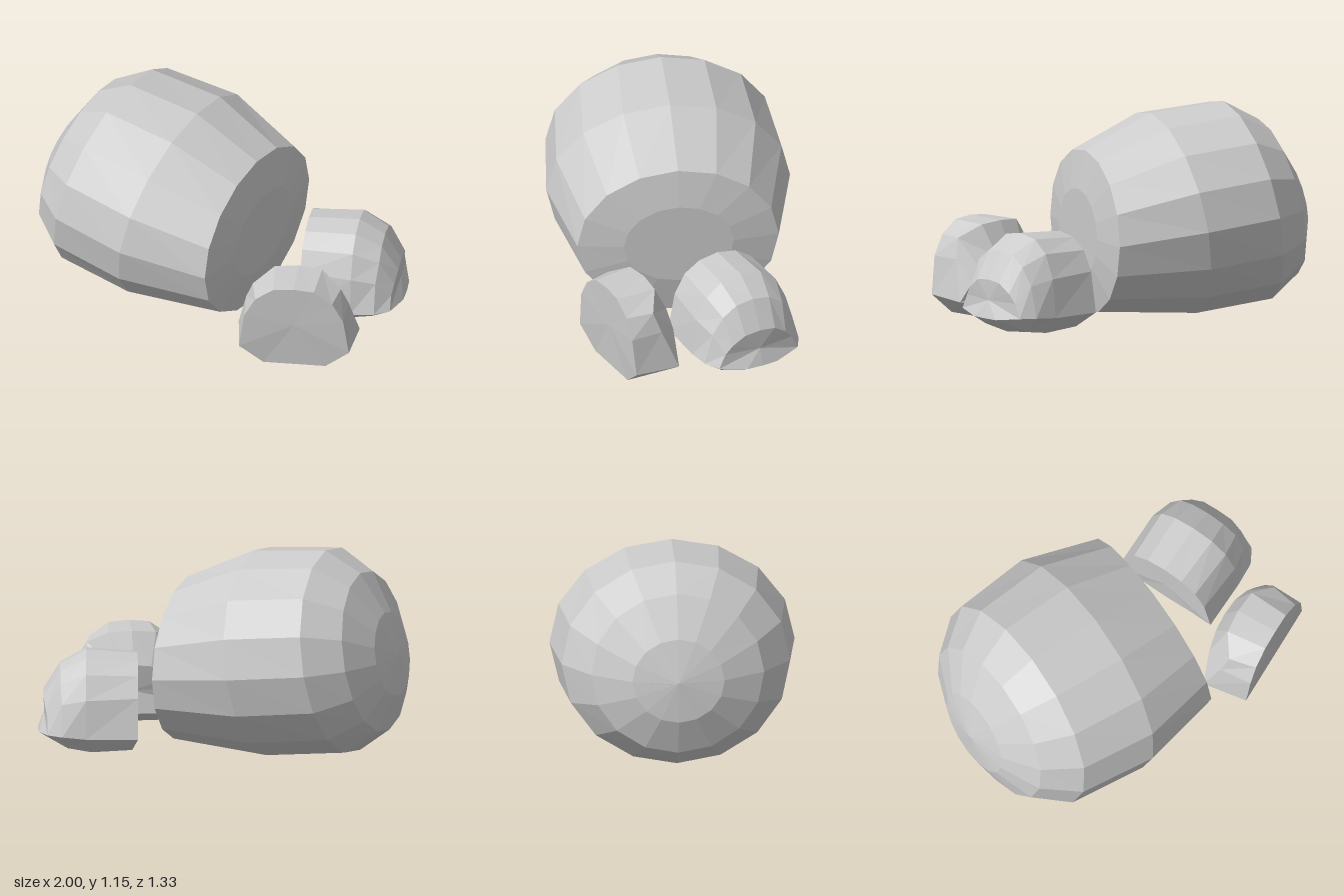
import * as THREE from 'three';

const material = new THREE.MeshStandardMaterial({ color: 0xcccccc, flatShading: true });

// Skins a series of closed rings and closes both ends with a fan.
function loft(rings, name) {
  const tris = [];
  const n = rings[0].length;
  const quad = (a, b, c, d) => tris.push([a, b, c], [a, c, d]);
  for (let r = 0; r < rings.length - 1; r++) {
    for (let i = 0; i < n; i++) {
      const j = (i + 1) % n;
      quad(rings[r][i], rings[r][j], rings[r + 1][j], rings[r + 1][i]);
    }
  }
  const cap = (ring, flip) => {
    const mid = ring.reduce((s, p) => s.add(p), new THREE.Vector3()).divideScalar(n);
    ring.forEach((p, i) => {
      const q = ring[(i + 1) % n];
      tris.push(flip ? [mid, q, p] : [mid, p, q]);
    });
  };
  cap(rings[0], true);
  cap(rings[rings.length - 1], false);

  // Turn the whole skin outward if its signed volume is negative
  const cross = new THREE.Vector3();
  const volume = tris.reduce((v, [a, b, c]) => v + a.dot(cross.crossVectors(b, c)), 0);
  const points = tris.flatMap(([a, b, c]) => (volume < 0 ? [a, c, b] : [a, b, c]));
  const geometry = new THREE.BufferGeometry().setFromPoints(points);
  geometry.computeVertexNormals();
  const mesh = new THREE.Mesh(geometry, material);
  mesh.name = name;
  return mesh;
}

// Slanted elliptical ring of the boulder: x at top and bottom, y range, half width
function boulderRing([xTop, xBottom, top, bottom, width]) {
  return Array.from({ length: 16 }, (_, i) => {
    const a = (i / 16) * Math.PI * 2;
    const k = (1 + Math.cos(a)) / 2;
    return new THREE.Vector3(
      THREE.MathUtils.lerp(xBottom, xTop, k),
      THREE.MathUtils.lerp(bottom, top, k),
      width * Math.sin(a)
    );
  });
}

// Mirrors a half outline [across, height, depth], listed from crown to underside
function archRing(half) {
  const right = half.map(([u, y, s]) => new THREE.Vector3(u, y, s));
  const left = half.slice(1, -1).reverse().map(([u, y, s]) => new THREE.Vector3(-u, y, s));
  return [...right, ...left];
}

function smallRock(name, x, z, dirX, dirZ, halves) {
  const rock = loft(halves.map(archRing), name);
  rock.position.set(x, 0, z);
  rock.rotation.y = Math.atan2(dirX, dirZ);
  return rock;
}

export function createModel() {
  const group = new THREE.Group();
  group.name = 'rocks';

  // Large barrel-shaped boulder, from rounded end to blunt end
  group.add(loft([
    [-0.99, -0.99, 0.605, 0.595, 0.005],
    [-0.91, -1.0, 0.83, 0.38, 0.25],
    [-0.77, -0.94, 1.04, 0.18, 0.47],
    [-0.57, -0.77, 1.15, 0.05, 0.62],
    [-0.15, -0.33, 1.11, 0.0, 0.665],
    [0.23, 0.23, 0.93, 0.04, 0.55],
    [0.27, 0.27, 0.72, 0.25, 0.3],
  ].map(boulderRing), 'boulder'));

  // Thin domed rock with its flat face toward the front
  group.add(smallRock('frontRock', 0.73, 0.447, -0.41, -0.91, [
    [[0, 0.53, 0], [0.11, 0.52, 0], [0.21, 0.45, 0], [0.27, 0.34, 0],
      [0.3, 0.13, 0.01], [0.17, 0.02, 0.03], [0, 0.02, 0.03]],
    [[0, 0.53, 0.235], [0.13, 0.52, 0.225], [0.24, 0.45, 0.15], [0.28, 0.34, 0.18],
      [0.33, 0.12, 0.26], [0.17, 0.02, 0.2], [0, 0.02, 0.21]],
    [[0, 0.36, 0.32], [0.1, 0.35, 0.315], [0.2, 0.28, 0.3], [0.26, 0.22, 0.28],
      [0.33, 0.12, 0.26], [0.18, 0.08, 0.3], [0, 0.09, 0.33]],
  ]));

  // Deeper domed rock with its flat face toward the boulder
  group.add(smallRock('backRock', 0.445, -0.19, 0.94, -0.35, [
    [[0, 0.53, 0], [0.11, 0.51, 0], [0.2, 0.45, 0], [0.26, 0.34, 0],
      [0.3, 0.12, 0], [0.17, 0.03, 0.03], [0, 0.02, 0.03]],
    [[0, 0.55, 0.28], [0.12, 0.53, 0.28], [0.21, 0.46, 0.28], [0.27, 0.33, 0.28],
      [0.295, 0.12, 0.28], [0.18, 0.02, 0.25], [0, 0.02, 0.25]],
    [[0, 0.47, 0.42], [0.1, 0.455, 0.42], [0.18, 0.4, 0.42], [0.24, 0.3, 0.41],
      [0.285, 0.13, 0.41], [0.17, 0.04, 0.38], [0, 0.02, 0.38]],
    [[0, 0.32, 0.51], [0.09, 0.31, 0.51], [0.16, 0.26, 0.5], [0.2, 0.21, 0.49],
      [0.238, 0.13, 0.49], [0.09, 0.11, 0.535], [0, 0.11, 0.54]],
  ]));

  return group;
}
